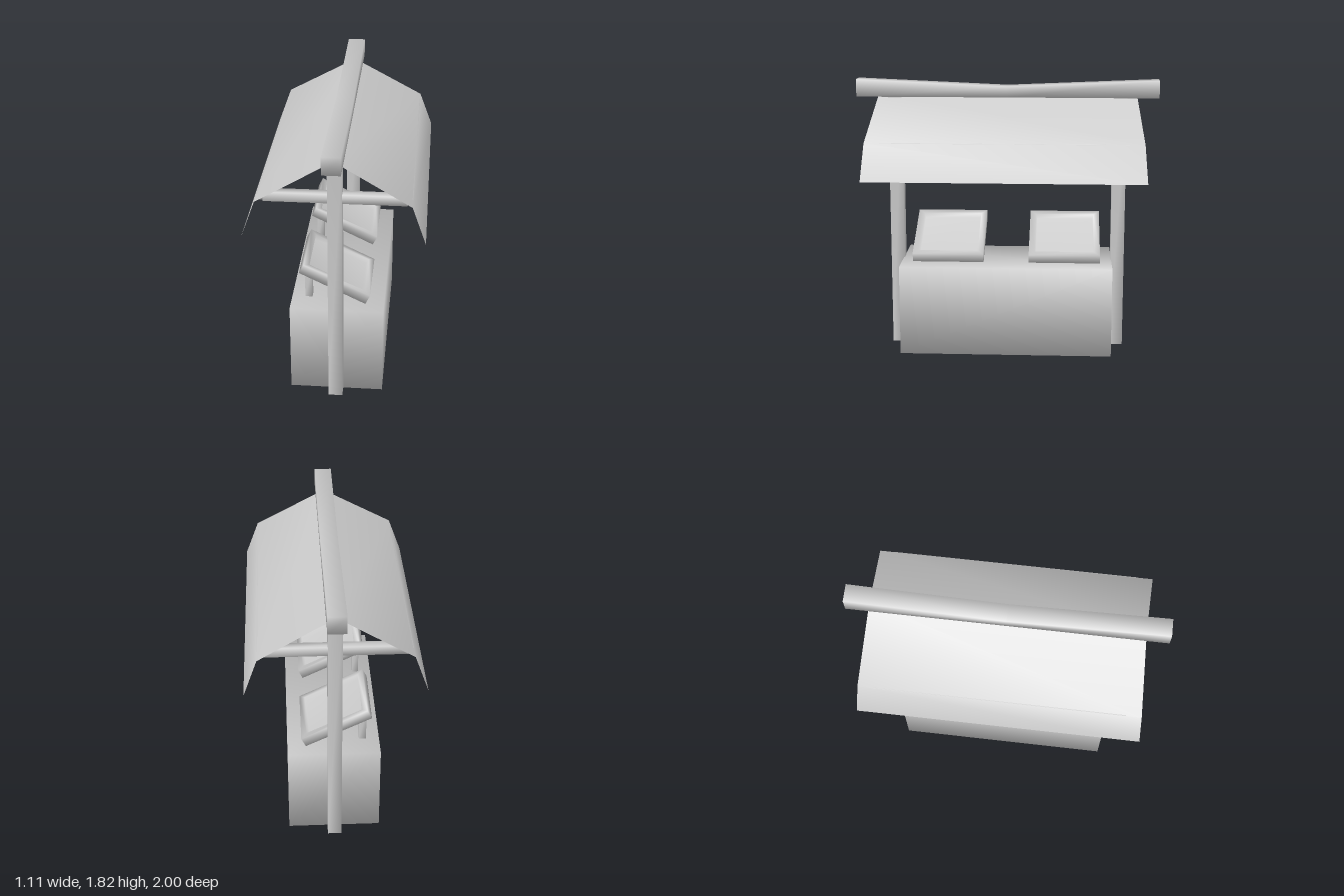
import * as THREE from 'three';
import { mergeVertices } from 'three/addons/utils/BufferGeometryUtils.js';

const material = new THREE.MeshStandardMaterial({ color: 0xcccccc });
const sheet = new THREE.MeshStandardMaterial({ color: 0xcccccc, side: THREE.DoubleSide });

// Share corners so that the shading runs smoothly over the edges
function soften(geometry) {
  geometry.deleteAttribute('normal');
  geometry.deleteAttribute('uv');
  const merged = mergeVertices(geometry);
  merged.computeVertexNormals();
  return merged;
}

function softBox(w, h, d, segments = 1) {
  return soften(new THREE.BoxGeometry(w, h, d, 1, 1, segments));
}

function indexed(points, index) {
  const geometry = new THREE.BufferGeometry();
  geometry.setAttribute('position', new THREE.Float32BufferAttribute(points, 3));
  geometry.setIndex(index);
  geometry.computeVertexNormals();
  return geometry;
}

// Square tray with a sunken floor, lofted from square rings [half size, height]
function trayGeometry() {
  const rings = [[0.237, -0.033], [0.237, 0.033], [0.198, 0.033], [0.19, 0.0]];
  const points = [], index = [];
  for (const [s, y] of rings) points.push(s, y, s, s, y, -s, -s, y, -s, -s, y, s);
  for (let r = 0; r < rings.length - 1; r++) {
    for (let i = 0; i < 4; i++) {
      const a = r * 4 + i, b = r * 4 + (i + 1) % 4;
      index.push(a, b, b + 4, a, b + 4, a + 4);
    }
  }
  const top = (rings.length - 1) * 4;
  index.push(0, 2, 1, 0, 3, 2);
  index.push(top, top + 1, top + 2, top, top + 2, top + 3);
  return indexed(points, index);
}

// One roof slope from profile points [x, y, half length]
function roofGeometry(side) {
  const profile = [[0, 1.72, 0.855], [0.47, 1.455, 0.888], [0.555, 1.22, 0.905]];
  const points = [], index = [];
  for (const [x, y, z] of profile) points.push(side * x, y, side * z, side * x, y, -side * z);
  for (let i = 0; i < profile.length - 1; i++) {
    const a = i * 2;
    index.push(a, a + 2, a + 3, a, a + 3, a + 1);
  }
  return indexed(points, index);
}

// Ridge beam whose top dips towards the middle
function ridgeGeometry() {
  const geometry = new THREE.BoxGeometry(0.115, 0.115, 2, 1, 1, 2);
  const p = geometry.attributes.position;
  for (let i = 0; i < p.count; i++) {
    if (p.getY(i) > 0) p.setY(i, 0.0575 - 0.043 * (1 - Math.abs(p.getZ(i))));
  }
  return soften(geometry);
}

export function createModel() {
  const model = new THREE.Group();
  model.name = 'marketStall';
  const add = (name, geometry, x, y, z, mat = material) => {
    const mesh = new THREE.Mesh(geometry, mat);
    mesh.name = name;
    mesh.position.set(x, y, z);
    model.add(mesh);
    return mesh;
  };

  add('counter', softBox(0.6, 0.6, 1.41), 0, 0.3, 0);
  add('ridgeBeam', ridgeGeometry(), 0, 1.7575, 0);

  for (const side of [1, -1]) {
    const label = side > 0 ? 'left' : 'right';
    const end = side > 0 ? 'front' : 'back';

    // Roof and the rails under its fold
    add(label + 'RoofSlope', roofGeometry(side), 0, 0, 0, sheet);
    add(label + 'RoofRail', softBox(0.035, 0.035, 1.58), side * 0.453, 1.44, 0);

    // Post and crossbar at each end
    add(end + 'Post', softBox(0.09, 1.72, 0.09), 0, 0.86, side * 0.745);
    add(end + 'Crossbar', softBox(0.875, 0.06, 0.06), 0, 1.435, side * 0.745);

    // Display tray propped on two legs
    const tray = add(end + 'Tray', trayGeometry(), -0.0175, 0.744, side * 0.388);
    tray.rotation.z = -0.459;
    for (const z of [0.25, 0.525]) {
      add(end + 'TrayLeg', softBox(0.047, 0.205, 0.047), -0.192, 0.7025, side * z);
    }
  }
  return model;
}
